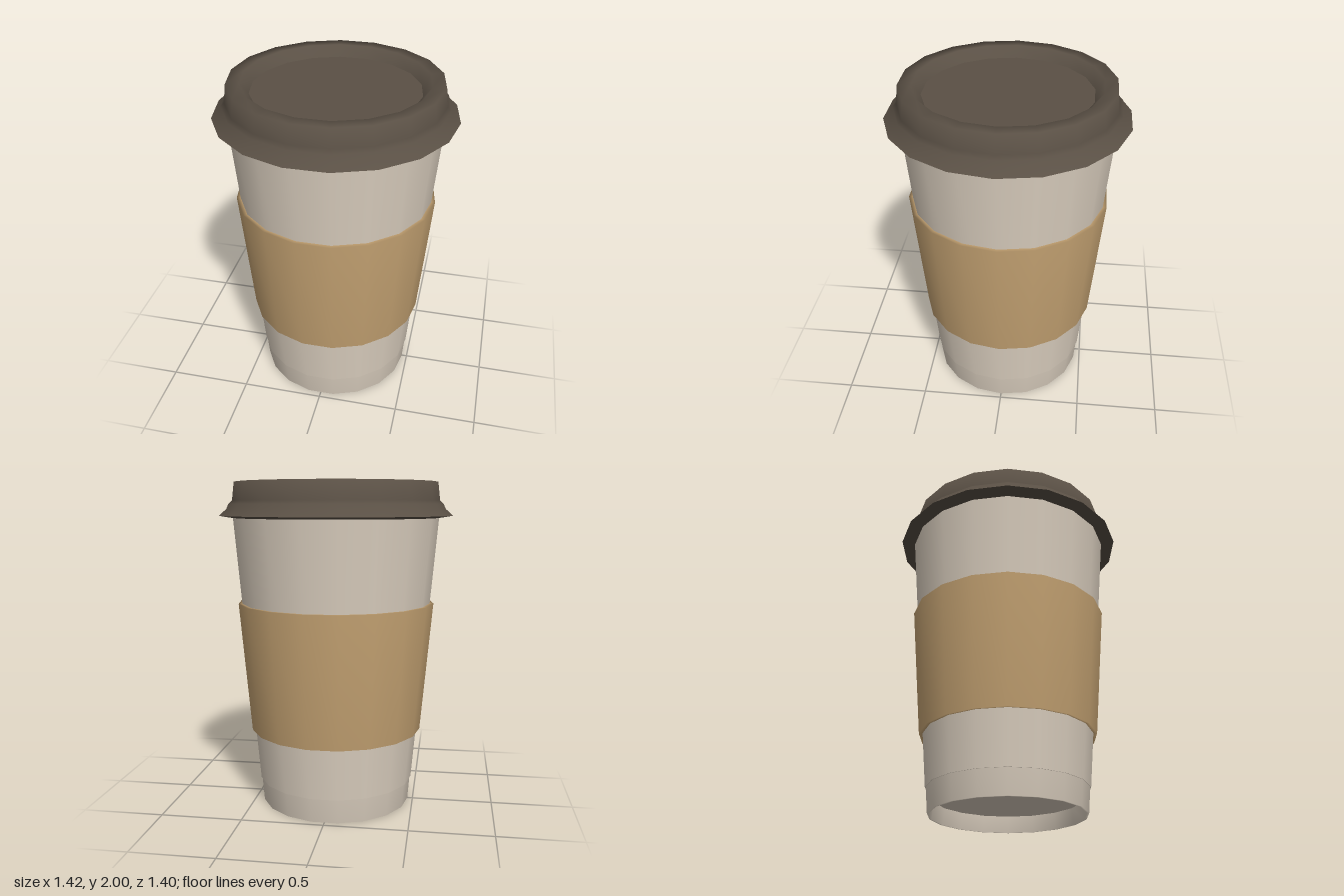
import * as THREE from 'three';

const SIDES = 18;

export function createModel() {
  const group = new THREE.Group();
  group.name = 'coffeeCup';

  const paper = new THREE.MeshStandardMaterial({ color: 0xdbcfbf });
  paper.name = 'cream paper';
  const card = new THREE.MeshStandardMaterial({ color: 0xc4a272 });
  card.name = 'kraft card';
  const plastic = new THREE.MeshStandardMaterial({ color: 0x5a5045 });
  plastic.name = 'dark brown plastic';

  // Revolve a profile of [radius, height] pairs, with a corner on the x axis
  const turn = (name, profile, material) => {
    const points = profile.map(([r, y]) => new THREE.Vector2(r, y));
    const mesh = new THREE.Mesh(new THREE.LatheGeometry(points, SIDES, Math.PI / 2), material);
    mesh.name = name;
    group.add(mesh);
  };

  // Cup: recessed base, foot band with a tiny step, tapered wall
  turn('cupBase', [[0, 0.1], [0.445, 0.1]], paper);
  turn('cupFoot', [[0.445, 0.1], [0.455, 0], [0.467, 0], [0.479, 0.15], [0.485, 0.15]], paper);
  turn('cupWall', [[0.485, 0.15], [0.627, 1.79]], paper);

  // Card sleeve with visible thickness at both ends
  turn('sleeve', [[0.505, 0.475], [0.535, 0.47], [0.605, 1.27], [0.575, 1.27]], card);

  // Lid: flared skirt with flat underside, raised rim, sunken top
  turn('lidUnderside', [[0.6, 1.787], [0.63, 1.787], [0.71, 1.8]], plastic);
  turn('lidRim', [
    [0.71, 1.8], [0.665, 1.84], [0.652, 1.87], [0.63, 1.89],
    [0.617, 2], [0.54, 2], [0.49, 1.94],
  ], plastic);
  turn('lidTop', [[0.49, 1.94], [0, 1.94]], plastic);

  return group;
}
